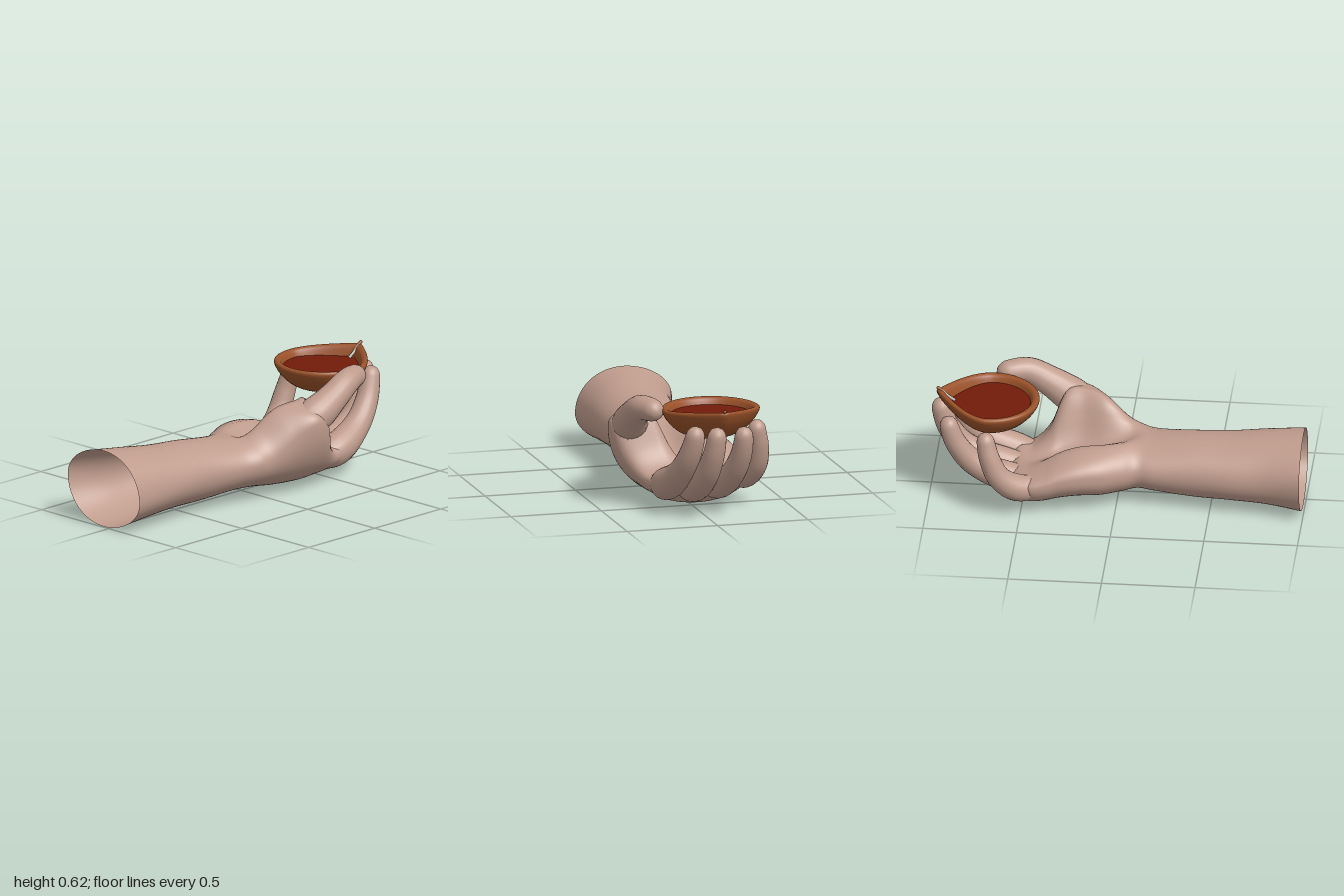
import * as THREE from 'three';
import { mergeVertices } from 'three/addons/utils/BufferGeometryUtils.js';

function material(name, color, side = THREE.FrontSide) {
  return Object.assign(new THREE.MeshStandardMaterial({ color, side }), { name });
}
const skin = material('skin', 0xbf9c8d, THREE.DoubleSide);
const clay = material('clay', 0x9a5229);
const oil = material('oil', 0x721b0a);
const cotton = material('cotton', 0xb8aca2);

const { lerp, smoothstep } = THREE.MathUtils;

// Weld the seam of a geometry and give it smooth normals
function smooth(geometry) {
  geometry.deleteAttribute('uv');
  geometry.deleteAttribute('normal');
  const welded = mergeVertices(geometry, 1e-5);
  welded.computeVertexNormals();
  return welded;
}

// Skin a list of closed rings, each an array of [x, y, z]
function loft(rings) {
  const n = rings[0].length, index = [];
  for (let i = 0; i < rings.length - 1; i++) {
    for (let j = 0; j < n; j++) {
      const a = i * n + j, b = i * n + (j + 1) % n;
      index.push(a, a + n, b, b, a + n, b + n);
    }
  }
  const g = new THREE.BufferGeometry();
  g.setAttribute('position', new THREE.Float32BufferAttribute(rings.flat(2), 3));
  g.setIndex(index);
  return smooth(g);
}

// Drop the faces that lie inside neighbouring parts, so the hand is one hollow skin
function trim(geometry, insideTests) {
  const pos = geometry.attributes.position, old = geometry.index.array, keep = [];
  const p = new THREE.Vector3(), corner = new THREE.Vector3();
  for (let i = 0; i < old.length; i += 3) {
    p.set(0, 0, 0);
    for (let k = 0; k < 3; k++) p.addScaledVector(corner.fromBufferAttribute(pos, old[i + k]), 1 / 3);
    if (!insideTests.some((inside) => inside(p))) keep.push(old[i], old[i + 1], old[i + 2]);
  }
  geometry.setIndex(keep);
  return geometry;
}

function add(group, name, geometry, mat) {
  const mesh = new THREE.Mesh(geometry, mat);
  mesh.name = name;
  group.add(mesh);
}

// Forearm and palm: z, left x, right x, side heights, bottom, top at left, middle, right
const SECTIONS = [
  [0.99, -0.315, 0.22, 0.24, 0.18, 0.0, 0.42, 0.42, 0.42],
  [0.8, -0.265, 0.21, 0.21, 0.19, 0.02, 0.4, 0.4, 0.4],
  [0.6, -0.245, 0.205, 0.2, 0.2, 0.03, 0.372, 0.372, 0.372],
  [0.4, -0.22, 0.205, 0.2, 0.2, 0.03, 0.358, 0.358, 0.358],
  [0.2, -0.203, 0.235, 0.2, 0.2, 0.047, 0.337, 0.337, 0.337],
  [0.11, -0.193, 0.267, 0.2, 0.21, 0.052, 0.34, 0.33, 0.345],
  [0.03, -0.23, 0.282, 0.2, 0.22, 0.042, 0.35, 0.3, 0.4],
  [-0.08, -0.28, 0.325, 0.2, 0.29, 0.025, 0.345, 0.265, 0.49],
  [-0.2, -0.31, 0.378, 0.2, 0.38, 0.018, 0.33, 0.235, 0.513],
  [-0.3, -0.325, 0.362, 0.19, 0.33, 0.012, 0.3, 0.21, 0.5],
  [-0.38, -0.335, 0.3, 0.17, 0.2, 0.01, 0.26, 0.2, 0.3],
  [-0.46, -0.33, 0.25, 0.16, 0.14, 0.01, 0.22, 0.19, 0.21],
  [-0.54, -0.27, 0.23, 0.14, 0.13, 0.025, 0.19, 0.18, 0.2],
  [-0.6, -0.17, 0.14, 0.12, 0.12, 0.08, 0.14, 0.14, 0.14],
  [-0.61, -0.02, -0.02, 0.12, 0.12, 0.12, 0.12, 0.12, 0.12],
];

// Smooth curve through rows of numbers at parameter t
function sample(rows, t) {
  const i = Math.min(Math.floor(t), rows.length - 2), f = t - i;
  const at = (k) => rows[Math.max(0, Math.min(rows.length - 1, k))];
  return at(i).map((b, q) => {
    const c = at(i + 1)[q], m0 = (c - at(i - 1)[q]) / 2, m1 = (at(i + 2)[q] - b) / 2;
    return b + f * (m0 + f * (3 * (c - b) - 2 * m0 - m1 + f * (2 * (b - c) + m0 + m1)));
  });
}

// Height of a palm section at c (-1 left to 1 right), s is -1 to 1 around the ring
function sectionHeight([z, , , yl, yr, yb, tl, tm, tr], c, s) {
  const side = lerp(yl, yr, (c + 1) / 2);
  if (s <= 0) return side + (side - yb) * s;
  // the ball of the thumb is fuller than the round forearm, and the palm is hollow
  const fullness = lerp(1, 0.7, smoothstep(-z, -0.1, 0.15));
  const top = lerp(tm, c > 0 ? tr : tl, smoothstep(Math.abs(c), 0, 0.5));
  return side + (top - side) * s ** fullness;
}

function makePalm() {
  const rows = [];
  for (let k = 0; k <= (SECTIONS.length - 1) * 8; k++) rows.push(sample(SECTIONS, k / 8));
  const rings = rows.map((row) => Array.from({ length: 64 }, (_, j) => {
    const a = (j / 32) * Math.PI, c = Math.cos(a);
    return [lerp(row[1], row[2], (c + 1) / 2), sectionHeight(row, c, Math.sin(a)), row[0]];
  }));
  const inside = (p) => {
    const row = rows.find((r) => r[0] <= p.z);
    if (!row) return false;
    const c = (2 * p.x - row[1] - row[2]) / (row[2] - row[1]);
    if (!(Math.abs(c) < 0.98)) return false;
    const s = Math.sqrt(1 - c * c), gap = 0.006;
    return p.y > sectionHeight(row, c, -s) + gap && p.y < sectionHeight(row, c, s) - gap;
  };
  return { name: 'forearmAndPalm', geometry: loft(rings), inside };
}

// Tapered tube with a round tip; points are [x, y, z, radius]
function makeDigit(name, points) {
  const seg = 56, sides = 20, tip = points.at(-1)[3] * 1.2;
  const curve = new THREE.CatmullRomCurve3(points.map((p) => new THREE.Vector3(p[0], p[1], p[2])));
  const length = curve.getLength(), balls = [];
  for (let i = 0; i <= seg; i++) {
    const u = i / seg, over = Math.max(0, 1 - ((1 - u) * length) / tip);
    const r = sample(points, curve.getUtoTmapping(u) * (points.length - 1))[3];
    balls.push({ centre: curve.getPointAt(u), r: r * Math.sqrt(Math.max(0, 1 - over * over)) });
  }
  const g = new THREE.TubeGeometry(curve, seg, 1, sides);
  const pos = g.attributes.position, v = new THREE.Vector3();
  for (let i = 0; i < pos.count; i++) {
    const { centre, r } = balls[Math.floor(i / (sides + 1))];
    v.fromBufferAttribute(pos, i).sub(centre).multiplyScalar(r).add(centre);
    pos.setXYZ(i, v.x, v.y, v.z);
  }
  const inside = (p) => balls.some((b) => b.centre.distanceTo(p) < b.r * 0.92);
  return { name, geometry: smooth(g), inside };
}

// Digits start narrow inside the palm and swell out through its surface
const DIGITS = {
  thumb: [[0.235, 0.36, -0.14, 0.07], [0.277, 0.412, -0.27, 0.096], [0.292, 0.49, -0.4, 0.08],
    [0.283, 0.55, -0.51, 0.07], [0.252, 0.558, -0.6, 0.062], [0.23, 0.552, -0.675, 0.052]],
  indexFinger: [[0.13, 0.115, -0.4, 0.06], [0.155, 0.14, -0.56, 0.088], [0.135, 0.235, -0.74, 0.072],
    [0.113, 0.34, -0.835, 0.062], [0.095, 0.44, -0.88, 0.055], [0.087, 0.523, -0.9, 0.046]],
  middleFinger: [[0.02, 0.105, -0.42, 0.06], [0.025, 0.13, -0.62, 0.083], [0.018, 0.225, -0.82, 0.069],
    [0, 0.35, -0.91, 0.06], [-0.01, 0.45, -0.943, 0.053], [-0.013, 0.525, -0.955, 0.045]],
  ringFinger: [[-0.1, 0.105, -0.4, 0.06], [-0.12, 0.13, -0.59, 0.08], [-0.15, 0.22, -0.76, 0.067],
    [-0.172, 0.34, -0.85, 0.058], [-0.177, 0.43, -0.885, 0.052], [-0.175, 0.507, -0.9, 0.044]],
  littleFinger: [[-0.22, 0.15, -0.36, 0.055], [-0.283, 0.152, -0.51, 0.073], [-0.321, 0.23, -0.61, 0.063],
    [-0.322, 0.34, -0.66, 0.056], [-0.31, 0.42, -0.68, 0.05], [-0.302, 0.49, -0.69, 0.043]],
};

// Teardrop ring of the lamp, scaled by s about its centre and lifted at the spout
function lampRing(s, y, lift) {
  return Array.from({ length: 64 }, (_, j) => {
    const a = (j / 32) * Math.PI, back = a > Math.PI;
    const v = back ? 1 - Math.abs(a / (Math.PI / 2) - 3) : 0;
    const x = back ? (1 - v ** 1.8) * (a < Math.PI * 1.5 ? -0.265 : 0.265) : 0.265 * Math.cos(a);
    const z = back ? -0.285 * v : 0.265 * Math.sin(a);
    return [-0.055 + s * x, y + lift * s * s * v ** 1.4, -0.683 + s * z];
  });
}

// Half section of the bowl, from the bottom centre over the rim to the inner wall
const BOWL = [[0, 0.408], [0.25, 0.412], [0.5, 0.427], [0.71, 0.456], [0.88, 0.5], [0.96, 0.532],
  [0.998, 0.556], [0.98, 0.57], [0.93, 0.573], [0.87, 0.566], [0.83, 0.548], [0.79, 0.52]];

export function createModel() {
  const model = new THREE.Group(), hand = new THREE.Group(), lamp = new THREE.Group();
  model.name = 'handHoldingLamp';
  hand.name = 'hand';
  lamp.name = 'oilLamp';
  model.add(hand, lamp);

  // Hand with an open forearm
  const parts = [makePalm(), ...Object.entries(DIGITS).map(([name, points]) => makeDigit(name, points))];
  for (const part of parts) {
    const others = parts.filter((p) => p !== part).map((p) => p.inside);
    add(hand, part.name, trim(part.geometry, others), skin);
  }

  // Oil lamp: bowl with a rolled rim, oil surface, wick
  const profile = new THREE.SplineCurve(BOWL.map((p) => new THREE.Vector2(...p))).getPoints(44);
  add(lamp, 'bowl', loft(profile.map((p) => lampRing(p.x, p.y, 0.032))), clay);
  add(lamp, 'oilSurface', loft([lampRing(0.815, 0.536, 0), lampRing(0, 0.536, 0)]), oil);
  add(lamp, 'wick', makeDigit('wick', [[-0.052, 0.537, -0.87, 0.008], [-0.052, 0.565, -0.91, 0.008],
    [-0.052, 0.602, -0.95, 0.008]]).geometry, cotton);
  add(lamp, 'wickEnd', makeDigit('wickEnd', [[-0.052, 0.595, -0.942, 0.01],
    [-0.052, 0.614, -0.967, 0.009]]).geometry, clay);
  return model;
}
